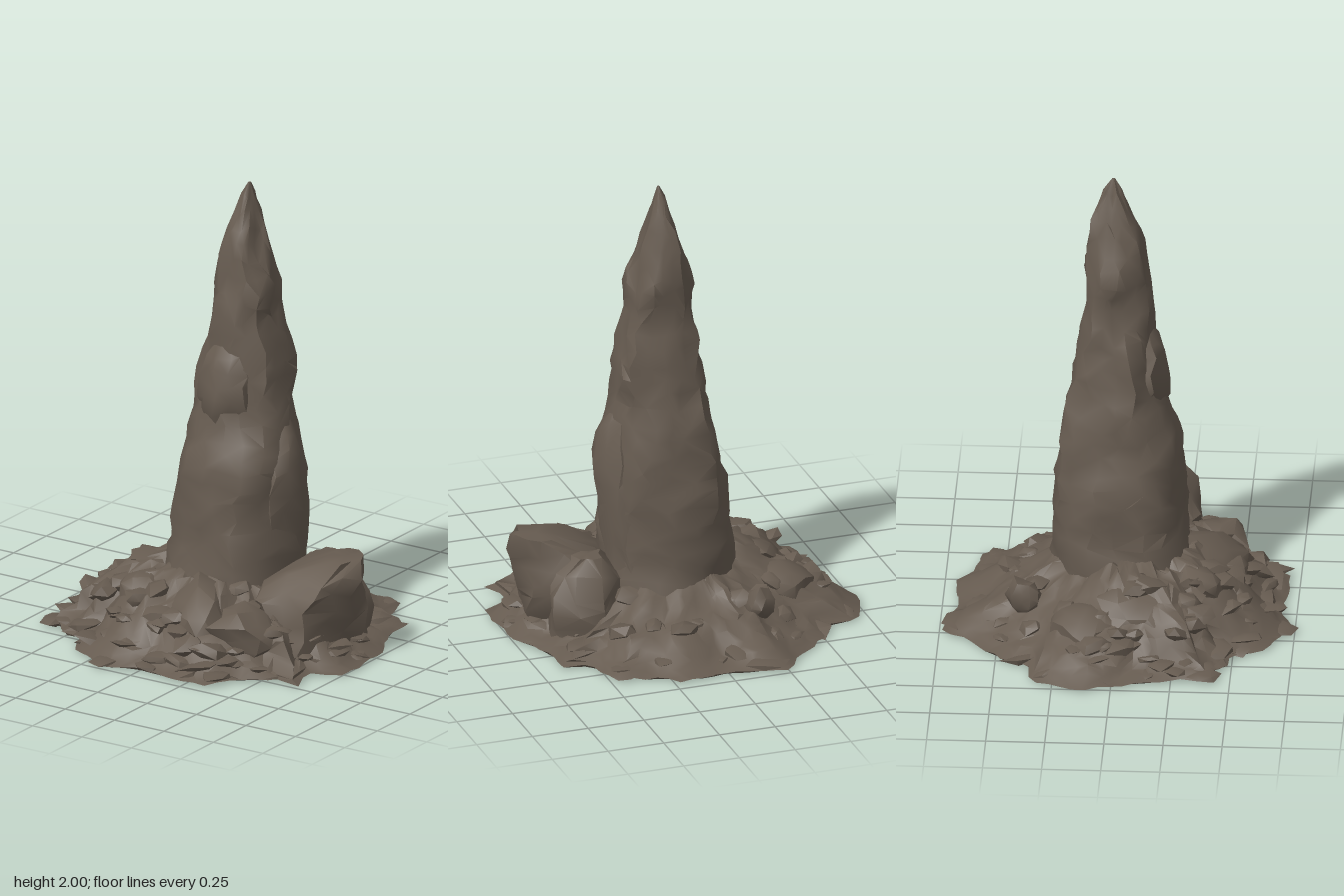
import * as THREE from 'three';
import { toCreasedNormals, mergeGeometries } from 'three/addons/utils/BufferGeometryUtils.js';

const rockMaterial = new THREE.MeshStandardMaterial({ color: 0x665b50 });
rockMaterial.name = 'brown rock';

// Seeded hash and smooth value noise in the range -1..1
function hash(x, y, z) {
  const s = Math.sin(x * 127.1 + y * 311.7 + z * 74.7) * 43758.5453;
  return (s - Math.floor(s)) * 2 - 1;
}
function noise(x, y, z) {
  const i = [x, y, z].map(Math.floor);
  const f = [x - i[0], y - i[1], z - i[2]].map((v) => v * v * (3 - 2 * v));
  let sum = 0;
  for (let a = 0; a < 2; a++) for (let b = 0; b < 2; b++) for (let c = 0; c < 2; c++) {
    const w = (a ? f[0] : 1 - f[0]) * (b ? f[1] : 1 - f[1]) * (c ? f[2] : 1 - f[2]);
    sum += w * hash(i[0] + a, i[1] + b, i[2] + c);
  }
  return sum;
}

// Linear lookup in rows sorted by their first value
function lookup(rows, key) {
  let i = 0;
  while (i < rows.length - 2 && rows[i + 1][0] < key) i++;
  const t = THREE.MathUtils.clamp((key - rows[i][0]) / (rows[i + 1][0] - rows[i][0]), 0, 1);
  return rows[i].map((v, k) => v + (rows[i + 1][k] - v) * t);
}

// Closed skin through rings of points, ordered from bottom/outside to top/inside
function loft(rings, crease) {
  const n = rings[0].length;
  const pos = rings.flat(2);
  const index = [];
  for (let i = 0; i < rings.length - 1; i++) {
    for (let j = 0; j < n; j++) {
      const a = i * n + j, b = i * n + (j + 1) % n;
      if (hash(i, j, 11) > 0) index.push(a, a + n, b, b, a + n, b + n);
      else index.push(a, b + n, b, a, a + n, b + n);
    }
  }
  const last = rings.length - 1;
  for (const [k, flip] of [[0, false], [last, true]]) {
    const c = [0, 1, 2].map((d) => rings[k].reduce((s, p) => s + p[d], 0) / n);
    const o = pos.length / 3;
    pos.push(...c);
    for (let j = 0; j < n; j++) {
      const a = k * n + j, b = k * n + (j + 1) % n;
      index.push(o, flip ? b : a, flip ? a : b);
    }
  }
  const g = new THREE.BufferGeometry();
  g.setAttribute('position', new THREE.Float32BufferAttribute(pos, 3));
  g.setIndex(index);
  return toCreasedNormals(g, crease);
}

// Upright rock from rows of [y, xMin, xMax, zMin, zMax]
function column(rows, levels, sides, rough, power) {
  const y0 = rows[0][0], y1 = rows[rows.length - 1][0];
  const rings = [];
  for (let i = 0; i <= levels; i++) {
    const [y, xa, xb, za, zb] = lookup(rows, y0 + (y1 - y0) * i / levels);
    const size = Math.min(1, (xb - xa) / 0.25);
    const ring = [];
    for (let j = 0; j < sides; j++) {
      const a = (j + 0.35 * hash(i, j, 3)) / sides * Math.PI * 2;
      const c = Math.cos(a), s = Math.sin(a);
      const r = Math.pow(Math.abs(c) ** power + Math.abs(s) ** power, -1 / power);
      const d = rough * size * (noise(c * 2 + 5, y * 5, s * 2 + 9) * 1.6 + 0.4 * hash(i, j, 1) - 0.3);
      const edge = i === 0 || i === levels ? 0 : 0.3 * (y1 - y0) / levels * hash(i, j, 7);
      ring.push([
        (xa + xb) / 2 + c * (r * (xb - xa) / 2 + d),
        y + edge,
        (za + zb) / 2 + s * (r * (zb - za) / 2 + d),
      ]);
    }
    rings.push(ring);
  }
  return loft(rings, 0.8);
}

// Ragged outline of the mound: [angle in degrees from +x towards +z, radius]
const outline = [
  [0, 0.76], [10, 0.78], [19, 0.81], [23, 0.8], [25, 0.72], [31, 0.74], [35, 0.86], [38, 0.83],
  [40, 0.73], [45, 0.74], [55, 0.72], [62, 0.79], [75, 0.73], [90, 0.68], [99, 0.75], [111, 0.74],
  [121, 0.72], [131, 0.64], [138, 0.74], [143, 0.7], [148, 0.8], [152, 0.76], [156, 0.73],
  [168, 0.71], [180, 0.73], [187, 0.78], [200, 0.79], [207, 0.77], [213, 0.66], [225, 0.69],
  [241, 0.7], [251, 0.785], [262, 0.73], [270, 0.68], [287, 0.74], [298, 0.71], [309, 0.78],
  [319, 0.69], [325, 0.7], [327, 0.78], [331, 0.76], [336, 0.71], [346, 0.71], [353, 0.75], [360, 0.76],
];
const radiusAt = (deg) => lookup(outline, ((deg % 360) + 360) % 360)[1];

// Mound height by share of the radius: [share, front height, back height]
const slope = [
  [0, 0.35, 0.3], [0.32, 0.34, 0.29], [0.45, 0.3, 0.235], [0.56, 0.255, 0.175], [0.7, 0.19, 0.12],
  [0.78, 0.14, 0.085], [0.85, 0.075, 0.055], [0.93, 0.035, 0.03], [0.98, 0.014, 0.014], [1, 0.008, 0.008],
];
function moundHeight(t, deg) {
  const a = THREE.MathUtils.degToRad(deg);
  const [, front, back] = lookup(slope, t);
  const side = THREE.MathUtils.smoothstep(Math.sin(a), -0.7, 0.5);
  const base = back + (front - back) * side;
  const x = Math.cos(a) * t, z = Math.sin(a) * t;
  const bump = 0.03 * noise(x * 6 + 3, 1.5, z * 6 + 7)
    + (0.025 + 0.02 * side) * noise(x * 15, 4.5, z * 15);
  return Math.max(0.006, base + bump * Math.min(1, Math.max(0, 1 - t) * 5));
}

function moundGeometry() {
  const shares = [1, 0.97, 0.93, 0.88, 0.83, 0.78, 0.72, 0.66, 0.6, 0.53, 0.46, 0.39, 0.31, 0.2];
  const n = 90;
  // The underside is a plain disc that the ragged rim overhangs
  const disc = [];
  for (let j = 0; j < n; j++) {
    const a = j / n * Math.PI * 2, r = Math.min(0.69, radiusAt(j * 360 / n) - 0.02);
    disc.push([Math.cos(a) * r, 0, Math.sin(a) * r]);
  }
  const rings = shares.map((share, i) => {
    const ring = [];
    for (let j = 0; j < n; j++) {
      const deg = (j + (i ? 0.4 * hash(i, j, 2) : 0)) * 360 / n;
      const t = share + (i ? 0.02 * hash(i, j, 5) : 0.012 * hash(j, 1, 5) - 0.008);
      const a = THREE.MathUtils.degToRad(deg), r = t * radiusAt(deg);
      ring.push([Math.cos(a) * r, moundHeight(t, deg), Math.sin(a) * r]);
    }
    return ring;
  });
  return loft([disc, ...rings], 0.7);
}

// Angular stone: a warped icosahedron kept above the ground
function stone(x, y, z, sx, sy, sz, turn, seed, detail) {
  const g = new THREE.IcosahedronGeometry(1, detail);
  g.deleteAttribute('uv');
  const p = g.attributes.position;
  for (let i = 0; i < p.count; i++) {
    const k = 1 + 0.4 * noise(p.getX(i) * 1.7 + seed * 3.1, p.getY(i) * 1.7, p.getZ(i) * 1.7);
    p.setXYZ(i, p.getX(i) * k * sx, p.getY(i) * k * sy, p.getZ(i) * k * sz);
  }
  g.rotateZ(0.3 * hash(seed, 1, 1));
  g.rotateY(turn);
  g.translate(x, y, z);
  for (let i = 0; i < p.count; i++) p.setY(i, Math.max(0, p.getY(i)));
  return toCreasedNormals(g, 0.7);
}

// Half-buried slabs strewn over the slope, sparser at the back, thin ones at the rim
function rubbleGeometry() {
  const parts = [];
  for (let i = 0; i < 150; i++) {
    const deg = i * 137.508;
    const a = THREE.MathUtils.degToRad(deg);
    if (Math.sin(a) < -0.1 && i % 3) continue;
    const t = 0.45 + 0.49 * Math.sqrt(0.5 + 0.5 * hash(i, 9, 4));
    const r = t * radiusAt(deg);
    const s = 0.055 + 0.02 * hash(i, 2, 2);
    const thick = t > 0.8 ? 0.3 : 0.55;
    parts.push(stone(Math.cos(a) * r, moundHeight(t, deg) - s * 0.25, Math.sin(a) * r,
      s * 1.2, s * thick, s, -a + 1.5 * hash(i, 4, 1), i, 0));
  }
  return mergeGeometries(parts);
}

export function createModel() {
  const group = new THREE.Group();
  const add = (name, geometry) => {
    const mesh = new THREE.Mesh(geometry, rockMaterial);
    mesh.name = name;
    group.add(mesh);
  };

  // Tall tapering spire
  add('spire', column([
    [0.2, -0.24, 0.33, -0.28, 0.32], [0.35, -0.22, 0.33, -0.28, 0.3], [0.6, -0.2, 0.34, -0.275, 0.265],
    [0.8, -0.18, 0.33, -0.265, 0.245], [0.95, -0.15, 0.3, -0.24, 0.2], [1.05, -0.13, 0.28, -0.21, 0.18],
    [1.2, -0.11, 0.28, -0.205, 0.165], [1.4, -0.07, 0.25, -0.175, 0.135], [1.55, -0.05, 0.225, -0.155, 0.13],
    [1.7, -0.015, 0.175, -0.14, 0.11], [1.82, 0.02, 0.14, -0.12, 0.06], [1.92, 0.05, 0.115, -0.08, 0.01],
    [2, 0.085, 0.095, -0.035, -0.025],
  ], 28, 18, 0.02, 2.6));

  // Slabs merging into the spire
  add('sideSlab', column([
    [0.3, 0.12, 0.33, -0.2, 0.12], [0.6, 0.12, 0.36, -0.18, 0.14], [0.78, 0.12, 0.375, -0.14, 0.12],
    [0.95, 0.12, 0.325, -0.1, 0.08], [1.03, 0.15, 0.27, -0.06, 0.04],
  ], 8, 12, 0.012, 2.6));
  add('frontSlab', column([
    [0.95, -0.02, 0.14, 0, 0.18], [1.03, -0.07, 0.2, -0.02, 0.21], [1.15, -0.06, 0.2, -0.02, 0.205],
    [1.25, -0.04, 0.18, -0.02, 0.18], [1.32, 0, 0.13, 0, 0.13],
  ], 6, 12, 0.01, 2.3));

  // Spreading base
  add('mound', moundGeometry());
  add('rubble', rubbleGeometry());

  // Large boulder leaning outward on the model's left, with a lower lump behind it
  add('boulder', column([
    [0, 0.25, 0.63, -0.14, 0.35], [0.06, 0.25, 0.645, -0.14, 0.35], [0.25, 0.27, 0.685, -0.14, 0.33],
    [0.33, 0.29, 0.7, -0.12, 0.31], [0.38, 0.34, 0.705, -0.1, 0.26], [0.42, 0.45, 0.705, -0.09, 0.18],
    [0.445, 0.54, 0.69, -0.06, 0.14],
  ], 7, 13, 0.03, 2.8));
  add('boulderLump', column([
    [0, 0.28, 0.6, -0.28, 0.05], [0.2, 0.28, 0.6, -0.25, 0.05], [0.32, 0.3, 0.57, -0.21, 0.02],
    [0.38, 0.37, 0.5, -0.17, -0.04],
  ], 5, 11, 0.025, 2.4));

  // Low outcrops breaking through the slope
  const outcrops = [
    [-0.36, 0.19, 0.1, 0.15, 0.09, 0.16], [-0.42, 0.13, -0.12, 0.14, 0.08, 0.14],
    [-0.23, 0.17, -0.39, 0.07, 0.08, 0.07], [0.1, 0.21, 0.38, 0.2, 0.09, 0.12],
    [-0.18, 0.22, 0.36, 0.13, 0.08, 0.11], [0.36, 0.15, 0.4, 0.15, 0.11, 0.12],
  ];
  add('outcrops', mergeGeometries(outcrops.map((o, i) => stone(...o, i * 0.7, i + 40, 1))));

  return group;
}
